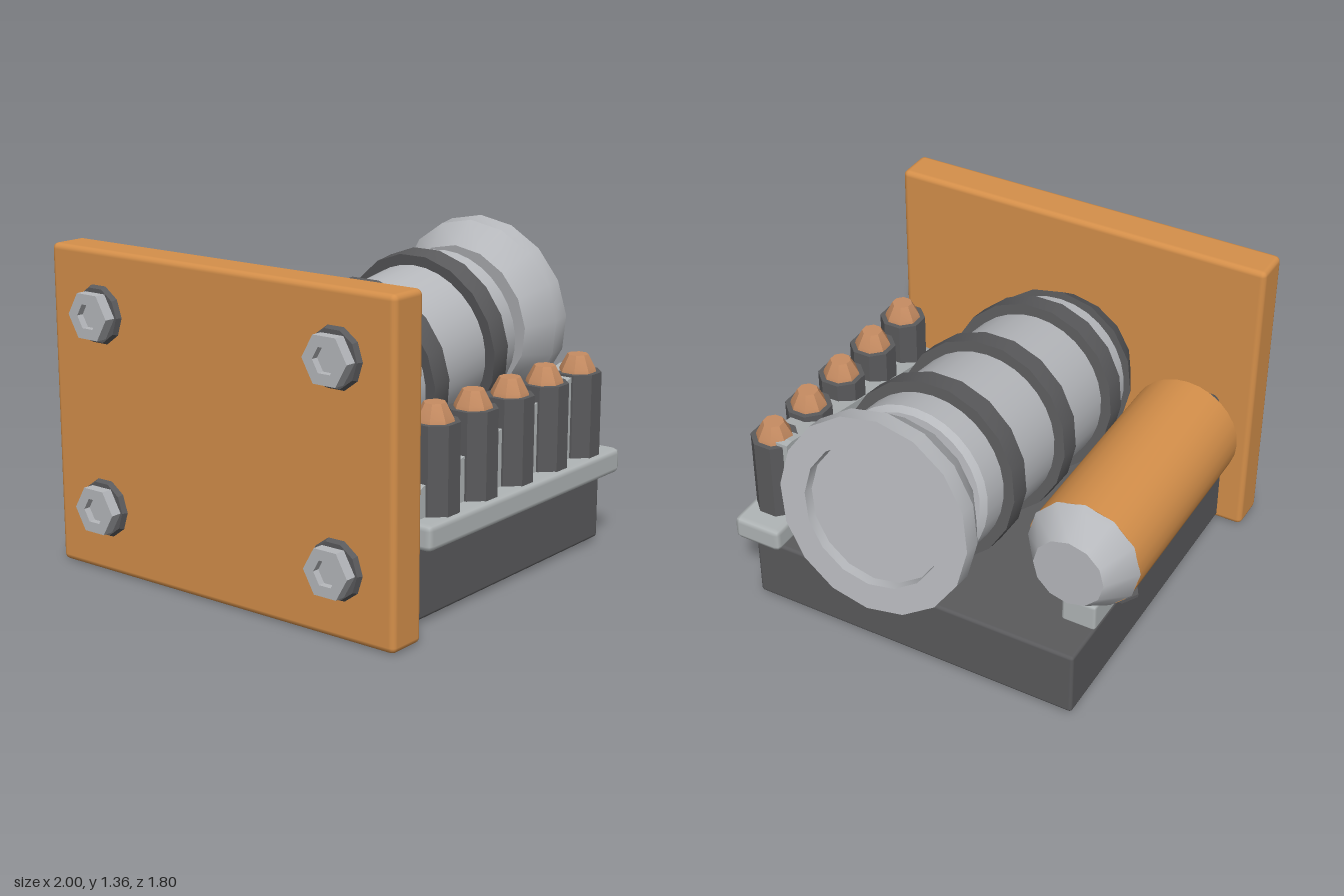
import * as THREE from 'three';
import { toCreasedNormals } from 'three/addons/utils/BufferGeometryUtils.js';
import { RoundedBoxGeometry } from 'three/addons/geometries/RoundedBoxGeometry.js';

function material(name, color) {
  const m = new THREE.MeshStandardMaterial({ color });
  m.name = name;
  return m;
}

export function createModel() {
  const orange = material('orange paint', 0xd48f4a);
  const dark = material('dark iron', 0x5a5a5c);
  const steel = material('steel', 0xb6b8bc);
  const pale = material('pale metal', 0xb0b5b6);
  const copper = material('copper', 0xc68c62);

  const model = new THREE.Group();
  model.name = 'cannon module';

  function add(parent, name, geometry, mat, x = 0, y = 0, z = 0) {
    const mesh = new THREE.Mesh(geometry, mat);
    mesh.name = name;
    mesh.position.set(x, y, z);
    parent.add(mesh);
    return mesh;
  }

  // Box given by its minimum and maximum corners
  function box(name, mat, [x0, y0, z0], [x1, y1, z1], radius, segments = 2) {
    const geometry = new RoundedBoxGeometry(x1 - x0, y1 - y0, z1 - z0, segments, radius);
    return add(model, name, geometry, mat, (x0 + x1) / 2, (y0 + y1) / 2, (z0 + z1) / 2);
  }

  // Turned part from [radius, height] pairs, with crisp edges
  function turned(profile, sides) {
    const points = profile.map(([r, h]) => new THREE.Vector2(r, h));
    return toCreasedNormals(new THREE.LatheGeometry(points, sides), 0.5);
  }

  // Solid tapered drum from h0 to h1
  const drum = (r0, h0, r1, h1, sides) => turned([[0, h0], [r0, h0], [r1, h1], [0, h1]], sides);

  // Base and mounting plate
  box('base', dark, [-0.77, 0.015, -0.75], [0.69, 0.32, 0.78], 0.015);
  box('mountingPlate', orange, [-0.93, 0, -0.87], [-0.755, 1.36, 0.895], 0.025);

  // Four bolts on the outside of the plate
  for (const y of [0.28, 1.095]) {
    for (const z of [-0.6, 0.625]) {
      const bolt = new THREE.Group();
      bolt.name = 'bolt';
      bolt.position.set(-0.93, y, z);
      bolt.rotation.z = Math.PI / 2;
      add(bolt, 'washer', drum(0.125, 0, 0.115, 0.022, 10), dark);
      add(bolt, 'hexNut', turned([[0.106, 0.02], [0.106, 0.07], [0.056, 0.07], [0.056, 0.04]], 6), steel);
      add(bolt, 'boltEnd', drum(0.056, 0.02, 0.056, 0.04, 6), steel);
      model.add(bolt);
    }
  }

  // Barrel assembly, built along its own tilted axis
  const barrel = new THREE.Group();
  barrel.name = 'barrel';
  barrel.position.set(0, 0.773, 0.015);
  barrel.rotation.z = -Math.PI / 2 + 0.153;
  model.add(barrel);
  add(barrel, 'breech', drum(0.285, -0.79, 0.375, -0.595, 16), dark);
  add(barrel, 'tube', turned([
    [0, -0.6], [0.33, -0.6], [0.348, -0.58], [0.348, 0.645], [0.325, 0.668], [0, 0.668],
  ], 32), steel);
  for (const t of [-0.405, 0.03, 0.466]) {
    add(barrel, 'band', drum(0.397, t - 0.051, 0.397, t + 0.051, 18), dark);
  }
  add(barrel, 'muzzle', turned([
    [0, 0.729], [0.345, 0.729], [0.425, 0.862], [0.425, 0.942],
    [0.31, 0.942], [0.305, 0.9], [0, 0.9],
  ], 16), steel);

  // Rack with a row of pegs and a rising wedge behind them
  box('rack', pale, [-0.66, 0.315, 0.635], [0.73, 0.425, 0.86], 0.025, 1);
  const side = new THREE.Shape([
    [-0.63, 0.4], [0.6, 0.4], [0.6, 0.8], [0.56, 0.8], [-0.59, 0.55], [-0.63, 0.53],
  ].map(([x, y]) => new THREE.Vector2(x, y)));
  add(model, 'rackWedge', new THREE.ExtrudeGeometry(side, { depth: 0.13, bevelEnabled: false }),
    pale, 0, 0, 0.645);
  add(model, 'rackFoot', drum(0.08, 0, 0.08, 0.015, 6), pale, 0.23, 0.318, 0.655);
  for (let i = 0; i < 5; i++) {
    const x = -0.48 + i * 0.256;
    const peg = add(model, 'peg', drum(0.103, 0.42, 0.103, 0.785, 8), dark, x, 0, 0.745);
    peg.rotation.y = Math.PI / 8;
    const tip = add(model, 'pegTip', turned([
      [0.08, 0.784], [0.076, 0.8], [0.045, 0.858], [0, 0.858],
    ], 8), copper, x, 0, 0.745);
    tip.rotation.y = Math.PI / 8;
  }

  // Tank with nose cone and valve
  const tank = new THREE.Group();
  tank.name = 'tank';
  tank.position.set(0, 0.63, -0.652);
  tank.rotation.z = -Math.PI / 2;
  model.add(tank);
  add(tank, 'tankBody', turned([
    [0, -0.555], [0.22, -0.555], [0.247, -0.53], [0.247, 0.425], [0, 0.425],
  ], 28), orange);
  add(tank, 'noseCone', drum(0.253, 0.424, 0.157, 0.56, 12), steel);
  add(tank, 'valveStem', drum(0.07, -0.62, 0.07, -0.55, 12), steel);
  box('valveKnob', dark, [-0.745, 0.55, -0.735], [-0.605, 0.71, -0.57], 0.045, 3);

  // Cradle under the tank
  box('cradle', pale, [-0.67, 0.31, -0.75], [0.5, 0.44, -0.595], 0.015, 1);
  box('cradlePost', pale, [-0.745, 0.31, -0.75], [-0.685, 0.48, -0.62], 0.01, 1);
  add(model, 'cradleFoot', drum(0.08, 0, 0.08, 0.015, 6), dark, 0.23, 0.318, -0.735);

  return model;
}
